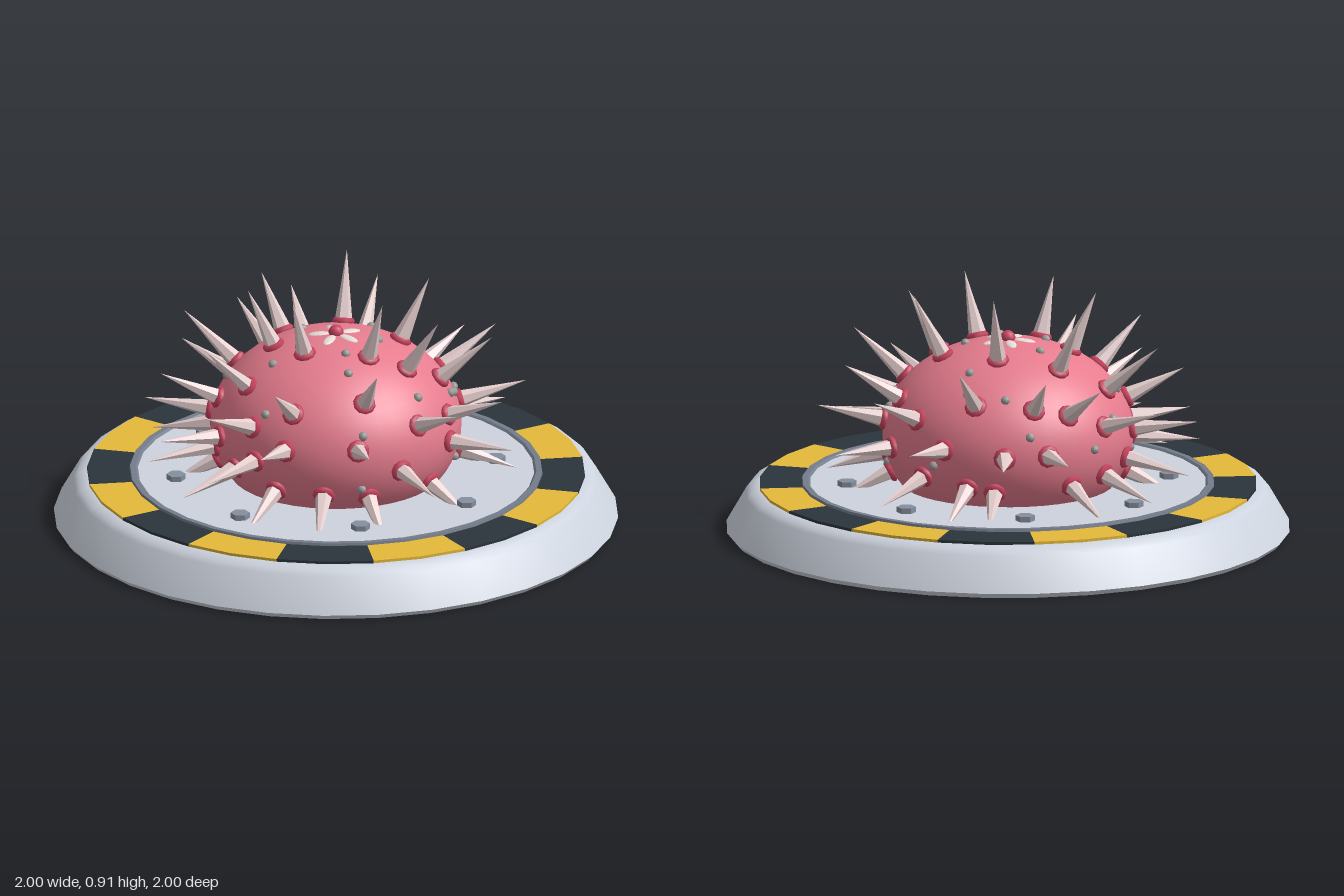
import * as THREE from 'three';
import { toCreasedNormals } from 'three/addons/utils/BufferGeometryUtils.js';

const material = (name, color) => {
  const m = new THREE.MeshStandardMaterial({ color });
  m.name = name;
  return m;
};

const RX = 0.445, RY = 0.34, CY = 0.36; // body ellipsoid

// Spines as [azimuth in degrees from +x towards +z, height on the body from -1 to 1]
const SPINES = [
  [160, .92], [85, .9], [309, .9], [208, .87], [16, .85], [257, .8],
  [62, .76], [316, .53], [105, .6], [40, .56], [144, .5], [182, .6], [230, .55], [285, .5], [10, .45],
  [348, .33], [78, .32], [267, .42], [203, .35], [165, .3], [54, .28], [218, .1], [247, .25],
  [111, .18], [22, .18], [145, .15], [329, .09], [300, .04], [280, .05], [57, .02], [5, -.03],
  [188, .05], [161, -.03], [90, -.09], [229, -.15], [36, -.24], [342, -.24], [127, -.32], [69, -.36],
  [175, -.2], [305, -.34], [267, -.3], [194, -.1], [247, -.25], [318, -.3], [20, -.36], [151, -.32],
  [105, -.36], [210, -.38],
];

// Beads, in the same terms
const BEADS = [
  [250, .94], [180, .94], [180, .81], [37, .94], [111, .83], [329, .8], [323, .63], [108, .94],
  [33, .36], [39, .4], [108, .32], [109, -.26], [44, -.26], [19, -.26], [21, .32], [70, .55],
  [160, .45], [200, -.2], [215, .5], [238, .3], [255, .05], [288, .25], [300, .6], [335, -.1],
];

// Puts an object on the body surface with its y axis along the normal
function placeOnBody(object, degrees, c) {
  const a = THREE.MathUtils.degToRad(degrees);
  const s = Math.sqrt(1 - c * c), cos = Math.cos(a), sin = Math.sin(a);
  object.position.set(RX * s * cos, CY + RY * c, RX * s * sin);
  const normal = new THREE.Vector3(s * cos / RX, c / RY, s * sin / RX).normalize();
  object.quaternion.setFromUnitVectors(new THREE.Vector3(0, 1, 0), normal);
}

function lathe(points, segments = 32, start = 0, length = Math.PI * 2) {
  const g = new THREE.LatheGeometry(points.map(([x, y]) => new THREE.Vector2(x, y)), segments, start, length);
  return toCreasedNormals(g, 0.6);
}

export function createModel() {
  const model = new THREE.Group();
  model.name = 'spinyDomeOnBase';

  const baseGrey = material('base grey', 0xcdd3de);
  const rimGrey = material('rim grey', 0x747d8c);
  const boltGrey = material('bolt grey', 0x858f9e);
  const yellow = material('warning yellow', 0xe4b93a);
  const black = material('warning black', 0x2a343b);
  const pink = material('body pink', 0xe67c8e);
  const crimson = material('collar crimson', 0xc9435f);
  const spineColor = material('spine pale pink', 0xebd3d3);
  const beadGrey = material('bead grey', 0x9c9898);
  const white = material('petal white', 0xf4e8e4);

  const add = (parent, name, geometry, mat) => {
    const mesh = new THREE.Mesh(geometry, mat);
    mesh.name = name;
    parent.add(mesh);
    return mesh;
  };
  const group = (name) => {
    const g = new THREE.Group();
    g.name = name;
    model.add(g);
    return g;
  };

  // Sloped base and deck
  const baseProfile = [[0, 0], [0.985, 0], [1, 0.018], [0.93, 0.14], [0.915, 0.156], [0.885, 0.168], [0, 0.17]];
  add(model, 'base', lathe(baseProfile), baseGrey);
  add(model, 'deck', lathe([[0.71, 0.165], [0.71, 0.18], [0, 0.18]]), baseGrey);
  add(model, 'deckRim', lathe([[0.735, 0.165], [0.73, 0.187], [0.71, 0.187], [0.7, 0.178]]), rimGrey);

  // Striped warning ring
  const ring = group('warningRing');
  const step = Math.PI / 8;
  for (let j = 0; j < 16; j++) {
    const g = lathe([[0.882, 0.165], [0.882, 0.178], [0.73, 0.178]], 2, j * step, step);
    add(ring, 'warningStripe', g, j % 2 ? yellow : black);
  }

  // Hexagonal bolts
  const bolts = group('bolts');
  const boltGeometry = new THREE.CylinderGeometry(0.034, 0.034, 0.025, 6).toNonIndexed();
  boltGeometry.computeVertexNormals();
  for (let i = 0; i < 8; i++) {
    const a = (i + 0.5) * Math.PI / 4;
    add(bolts, 'bolt', boltGeometry, boltGrey).position.set(0.573 * Math.cos(a), 0.187, 0.573 * Math.sin(a));
  }

  // Dome body
  const body = add(model, 'body', new THREE.SphereGeometry(1, 40, 28), pink);
  body.scale.set(RX, RY, RX);
  body.position.y = CY;

  // Spines, each rising from a collar
  const spines = group('spines');
  const spineGeometry = new THREE.ConeGeometry(0.032, 1, 6).toNonIndexed().translate(0, 0.5, 0);
  spineGeometry.computeVertexNormals();
  const collarGeometry = new THREE.TorusGeometry(0.027, 0.014, 6, 10).rotateX(Math.PI / 2);
  SPINES.forEach(([degrees, c], i) => {
    const spine = new THREE.Group();
    spine.name = 'spine';
    add(spine, 'spineCone', spineGeometry, spineColor).scale.y = 0.225 + 0.035 * ((i * 7) % 5) / 4;
    add(spine, 'spineCollar', collarGeometry, crimson).position.y = 0.005;
    placeOnBody(spine, degrees, c);
    spines.add(spine);
  });

  // Small beads scattered between the spines
  const beads = group('beads');
  const beadGeometry = new THREE.SphereGeometry(0.017, 8, 6);
  for (const [degrees, c] of BEADS) placeOnBody(add(beads, 'bead', beadGeometry, beadGrey), degrees, c);

  // Five petals around a knob on the crown
  const crown = group('crown');
  crown.position.y = CY + RY;
  const petalGeometry = new THREE.SphereGeometry(1, 10, 8).scale(0.042, 0.009, 0.02).translate(0.06, 0, 0);
  for (let i = 0; i < 5; i++) {
    const petal = add(crown, 'petal', petalGeometry, white);
    petal.rotation.set(0, i * Math.PI * 2 / 5, -0.1, 'YXZ');
  }
  add(crown, 'knob', new THREE.SphereGeometry(0.027, 12, 8), crimson).position.y = 0.005;

  return model;
}
